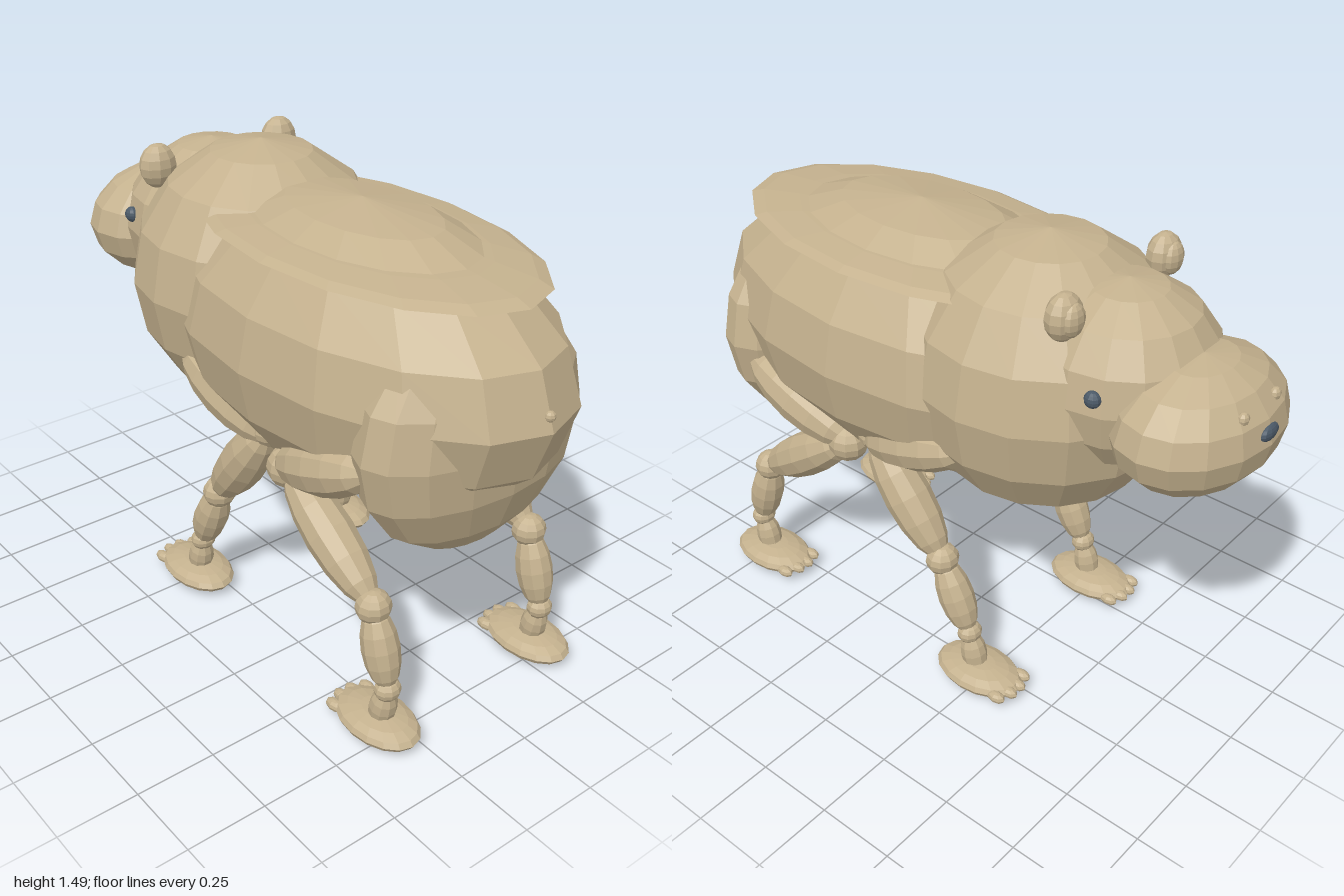
import * as THREE from 'three';

const hide = new THREE.MeshStandardMaterial({ color: 0xc4b18e, flatShading: true });
hide.name = 'tan hide';
const dark = new THREE.MeshStandardMaterial({ color: 0x4c5a68, flatShading: true });
dark.name = 'slate eyes and nose';

// Ellipsoid at a position with three radii
function blob(parent, name, pos, radii, material = hide, w = 16, h = 8) {
  const geo = new THREE.SphereGeometry(1, w, h).scale(...radii);
  const mesh = new THREE.Mesh(geo, material);
  mesh.name = name;
  mesh.position.set(...pos);
  parent.add(mesh);
  return mesh;
}

// Ellipsoid stretched between two points, poles at its ends
function limb(parent, name, a, b, radius) {
  const from = new THREE.Vector3(...a), to = new THREE.Vector3(...b);
  const dir = to.clone().sub(from);
  const mid = from.clone().add(to).multiplyScalar(0.5);
  const mesh = blob(parent, name, mid.toArray(), [radius, dir.length() / 2, radius], hide, 10, 8);
  mesh.quaternion.setFromUnitVectors(new THREE.Vector3(0, 1, 0), dir.normalize());
  return mesh;
}

// Joints are [z, y] pairs in the leg's own plane
function leg(name, side, x, p) {
  const g = new THREE.Group();
  g.name = name;
  const at = ([z, y], dx = 0) => [side * (x + dx), y, z];
  limb(g, 'thigh', at(p.hip, 0.02), at(p.thighEnd, 0.01), p.thighRadius);
  blob(g, 'knee', at(p.knee), [p.kneeRadius, p.kneeRadius, p.kneeRadius], hide, 10, 8);
  limb(g, 'shin', at(p.knee), at(p.hock), 0.075);
  blob(g, 'hock', at(p.hock), [0.055, 0.052, 0.052], hide, 10, 8);
  limb(g, 'lowerLeg', at(p.hock), at(p.ankle), 0.057);
  blob(g, 'ankle', at(p.ankle), [0.042, 0.036, 0.038], hide, 10, 8);
  limb(g, 'pastern', at(p.ankle), at([p.foot - p.lean, 0.03]), 0.042);
  blob(g, 'foot', at([p.foot, 0.045]), [0.1, 0.04, 0.155]);
  // Four toes along the front edge of the foot
  for (let i = 0; i < 4; i++) {
    const dx = (i - 1.5) * 0.042;
    const z = p.foot - 0.145 + Math.abs(i - 1.5) * 0.016;
    blob(g, 'toe', at([z, 0.045], dx), [0.02, 0.018, 0.033], hide, 8, 6);
  }
  return g;
}

export function createModel() {
  const model = new THREE.Group();
  model.name = 'stockyAnimal';

  // Torso
  blob(model, 'body', [0, 1.02, 0.23], [0.44, 0.42, 0.77]);
  blob(model, 'rump', [0, 0.92, 0.7], [0.39, 0.37, 0.195]);
  blob(model, 'chest', [0, 1.055, -0.25], [0.41, 0.435, 0.425]);
  blob(model, 'backPlate', [0, 1.33, 0.23], [0.36, 0.04, 0.66]);
  blob(model, 'tail', [0, 1.065, 0.982], [0.016, 0.016, 0.016], hide, 8, 6);

  // Head, facing -z
  blob(model, 'head', [0, 1.15, -0.52], [0.285, 0.28, 0.29]);
  blob(model, 'snout', [0, 1.095, -0.77], [0.3, 0.195, 0.225]);
  blob(model, 'nose', [0, 1.13, -0.982], [0.042, 0.024, 0.016], dark, 10, 8);

  for (const s of [1, -1]) {
    blob(model, 'nostril', [s * 0.08, 1.195, -0.945], [0.02, 0.02, 0.016], hide, 8, 6);
    blob(model, 'eye', [s * 0.262, 1.2, -0.6], [0.022, 0.025, 0.025], dark, 10, 8);
    blob(model, 'ear', [s * 0.232, 1.39, -0.475], [0.062, 0.07, 0.048], hide, 10, 8);
    blob(model, 'innerEar', [s * 0.232, 1.39, -0.505], [0.042, 0.05, 0.028], hide, 10, 8);

    const side = s > 0 ? 'left' : 'right';
    model.add(leg(side + 'HindLeg', s, 0.31, {
      hip: [0.68, 0.87], thighEnd: [0.26, 0.71], thighRadius: 0.085,
      knee: [0.285, 0.7], kneeRadius: 0.065, hock: [0.675, 0.43],
      ankle: [0.745, 0.18], foot: 0.705, lean: -0.005,
    }));
    model.add(leg(side + 'ForeLeg', s, 0.3, {
      hip: [-0.22, 0.89], thighEnd: [0.2, 0.75], thighRadius: 0.08,
      knee: [0.18, 0.77], kneeRadius: 0.05, hock: [-0.095, 0.42],
      ankle: [-0.205, 0.18], foot: -0.245, lean: -0.005,
    }));
  }
  return model;
}
